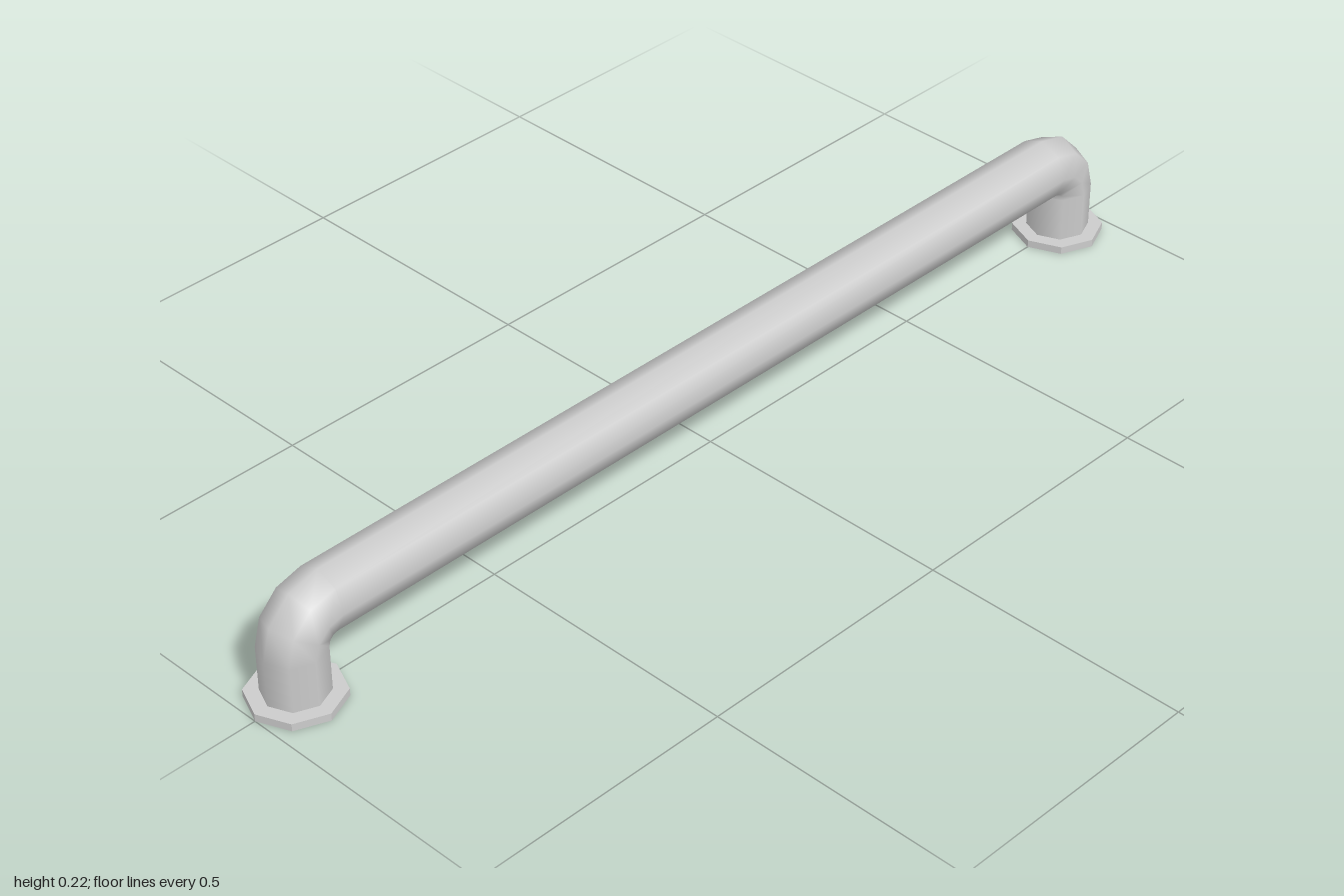
import * as THREE from 'three';

const LEG_X = 0.917, BAR_Y = 0.159, TUBE_R = 0.057, BEND_R = 0.06;
const PLATE_R = 0.083, PLATE_H = 0.014, SIDES = 8, BEND_STEPS = 3;

// Sweeps an eight-sided ring up one leg, along the bar and down the other leg
function tubeGeometry() {
  // Each station: centre x, y and the angle of the outward normal
  const stations = [[-LEG_X, PLATE_H / 2, Math.PI]];
  for (const side of [-1, 1]) {
    for (let k = 0; k <= BEND_STEPS; k++) {
      const turn = (k / BEND_STEPS) * Math.PI / 2;
      const a = side < 0 ? Math.PI - turn : Math.PI / 2 - turn;
      stations.push([
        side * (LEG_X - BEND_R) + BEND_R * Math.cos(a),
        BAR_Y - BEND_R + BEND_R * Math.sin(a),
        a,
      ]);
    }
  }
  stations.push([LEG_X, PLATE_H / 2, 0]);

  const positions = [], normals = [], indices = [];
  stations.forEach(([x, y, a], i) => {
    for (let j = 0; j < SIDES; j++) {
      const b = (j / SIDES) * Math.PI * 2;
      const n = [Math.cos(b) * Math.cos(a), Math.cos(b) * Math.sin(a), Math.sin(b)];
      positions.push(x + TUBE_R * n[0], y + TUBE_R * n[1], TUBE_R * n[2]);
      normals.push(...n);
      if (i === stations.length - 1) continue;
      const p = i * SIDES + j, q = i * SIDES + (j + 1) % SIDES;
      indices.push(p, q, p + SIDES, q, q + SIDES, p + SIDES);
    }
  });
  const geometry = new THREE.BufferGeometry();
  geometry.setAttribute('position', new THREE.Float32BufferAttribute(positions, 3));
  geometry.setAttribute('normal', new THREE.Float32BufferAttribute(normals, 3));
  geometry.setIndex(indices);
  return geometry;
}

export function createModel() {
  const group = new THREE.Group();
  group.name = 'grabHandle';

  // Bent tube: both legs and the bar in one piece
  const tube = new THREE.Mesh(tubeGeometry(), new THREE.MeshStandardMaterial({ color: 0xcccccc }));
  tube.name = 'handleTube';
  group.add(tube);

  // Octagonal mounting plates under the legs
  const plateMaterial = new THREE.MeshStandardMaterial({ color: 0xcccccc, flatShading: true });
  const plateGeometry = new THREE.CylinderGeometry(PLATE_R, PLATE_R, PLATE_H, SIDES);
  for (const side of [-1, 1]) {
    const plate = new THREE.Mesh(plateGeometry, plateMaterial);
    plate.name = side > 0 ? 'leftMountingPlate' : 'rightMountingPlate';
    plate.position.set(side * LEG_X, PLATE_H / 2, 0);
    group.add(plate);
  }
  return group;
}
